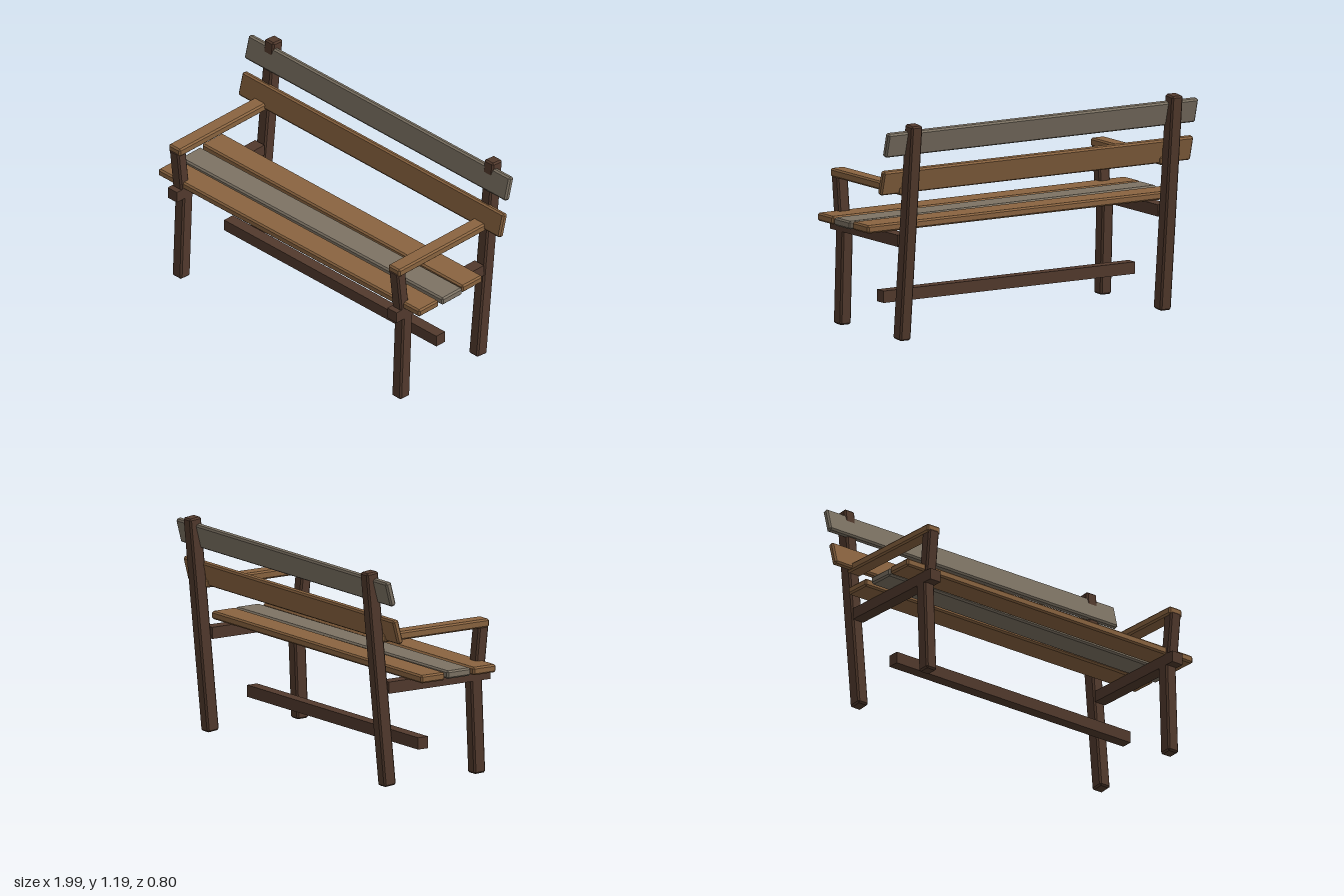
import * as THREE from 'three';
import { ConvexGeometry } from 'three/addons/geometries/ConvexGeometry.js';

const material = (name, color) => {
  const m = new THREE.MeshStandardMaterial({ color });
  m.name = name;
  return m;
};

// Box with flat chamfers on every edge and corner
function chamferBox(w, h, d, c = 0.009) {
  const points = [];
  const [x, y, z] = [w / 2, h / 2, d / 2];
  for (const sx of [-1, 1]) for (const sy of [-1, 1]) for (const sz of [-1, 1]) {
    points.push(
      new THREE.Vector3(sx * x, sy * (y - c), sz * (z - c)),
      new THREE.Vector3(sx * (x - c), sy * y, sz * (z - c)),
      new THREE.Vector3(sx * (x - c), sy * (y - c), sz * z),
    );
  }
  return new ConvexGeometry(points);
}

export function createModel() {
  const bench = new THREE.Group();
  bench.name = 'gardenBench';
  const darkWood = material('darkWood', 0x523a2d);
  const warmWood = material('warmWood', 0x8a6440);
  const greyWood = material('weatheredWood', 0x7d7364);

  const add = (name, geometry, mat, pos, rot = [0, 0, 0], parent = bench) => {
    const mesh = new THREE.Mesh(geometry, mat);
    mesh.name = name;
    mesh.position.set(...pos);
    mesh.rotation.set(...rot);
    parent.add(mesh);
  };

  // Side frames: legs, seat support, arm post and armrest
  for (const side of [-1, 1]) {
    const frame = new THREE.Group();
    frame.name = side > 0 ? 'leftFrame' : 'rightFrame';
    frame.position.x = side * 0.833;
    bench.add(frame);
    add('backLeg', chamferBox(0.07, 1.19, 0.076), darkWood, [0, 0.6, -0.304], [-0.099, 0, 0], frame);
    add('frontLeg', chamferBox(0.07, 0.55, 0.074), darkWood, [0, 0.28, 0.326], [-0.042, 0, 0], frame);
    add('seatSupport', new THREE.BoxGeometry(0.07, 0.064, 0.66), darkWood, [0, 0.548, 0.074], [0, 0, 0], frame);
    add('armPost', chamferBox(0.07, 0.27, 0.064), darkWood, [0, 0.69, 0.35], [0.11, 0, 0], frame);
    add('armrest', chamferBox(0.088, 0.047, 0.692), warmWood, [0, 0.825, 0.046], [0, 0, 0], frame);
  }

  // Seat planks, laid slightly uneven
  add('frontSeatPlank', chamferBox(1.975, 0.044, 0.15), warmWood, [-0.002, 0.601, 0.279], [0, 0.004, 0]);
  add('middleSeatPlank', chamferBox(1.975, 0.044, 0.155), greyWood, [0.003, 0.601, 0.111], [0, 0.009, 0]);
  add('backSeatPlank', chamferBox(1.98, 0.044, 0.154), warmWood, [-0.01, 0.601, -0.06]);

  // Backrest planks, leaning back
  add('lowerBackPlank', chamferBox(1.984, 0.137, 0.036), warmWood, [0, 0.878, -0.281], [-0.26, 0, 0]);
  add('upperBackPlank', chamferBox(1.984, 0.137, 0.036), greyWood, [0, 1.091, -0.328], [-0.26, 0, 0]);

  // Low stretcher bar
  add('stretcher', new THREE.BoxGeometry(1.61, 0.065, 0.065), darkWood, [0, 0.202, 0.008]);

  return bench;
}
